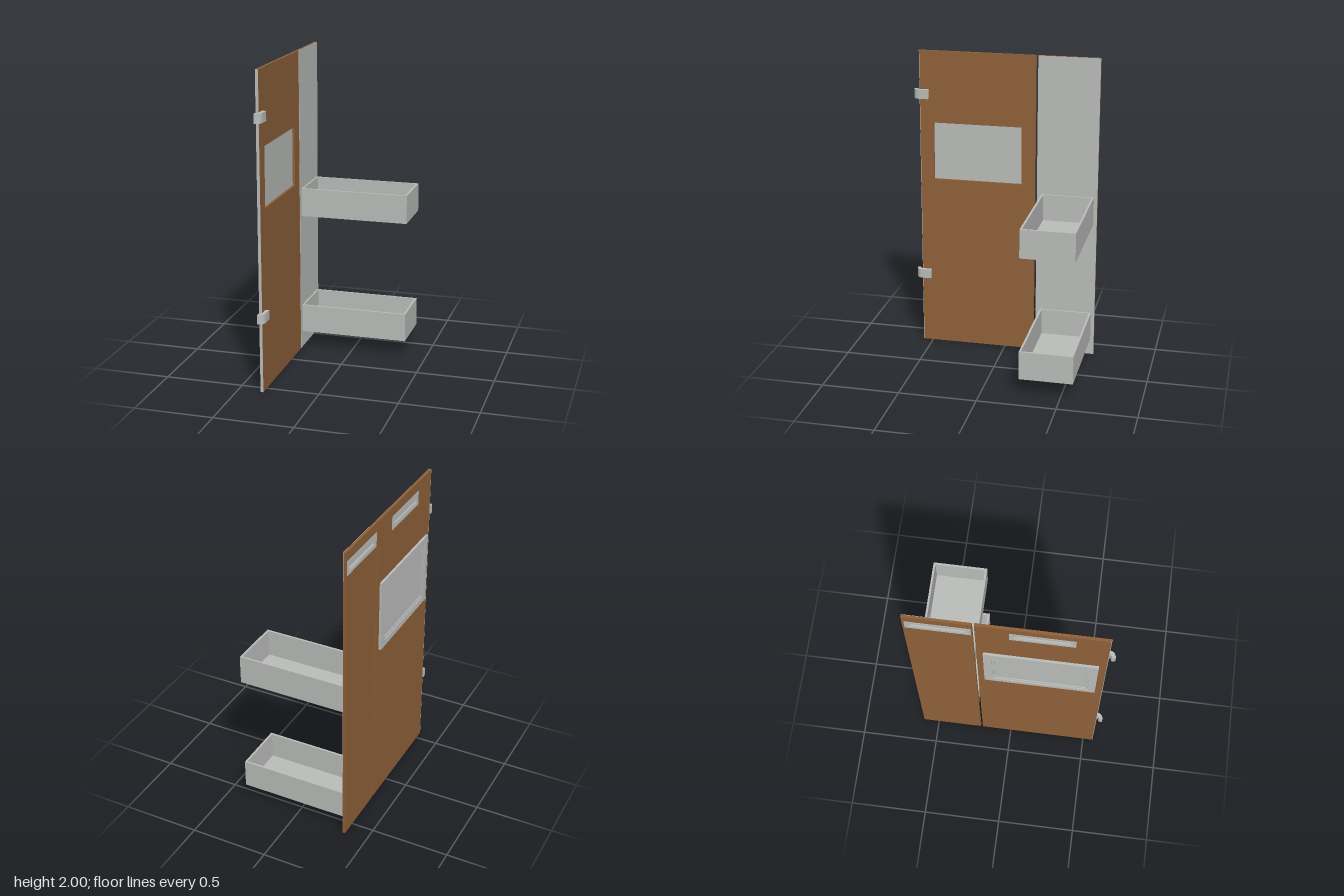
import * as THREE from 'three';

const wood = new THREE.MeshStandardMaterial({ color: 0x90623a });
wood.name = 'brown wood';
const metal = new THREE.MeshStandardMaterial({ color: 0xbdbfbd });
metal.name = 'light grey metal';

// Rectangle as a point list, in the plane of a shape
function rect(u0, u1, v0, v1) {
  return [[u0, v0], [u1, v0], [u1, v1], [u0, v1]].map(([u, v]) => new THREE.Vector2(u, v));
}

function extrude(points, holes, depth) {
  const shape = new THREE.Shape(points);
  for (const h of holes) shape.holes.push(new THREE.Path(h));
  return new THREE.ExtrudeGeometry(shape, { depth, bevelEnabled: false, curveSegments: 10 });
}

// Upright sheet from x0 to x1; rectangles are [z0, z1, y0, y1]
function sheet(name, mat, x0, x1, outer, holes = []) {
  const toPoints = ([z0, z1, y0, y1]) => rect(-z1, -z0, y0, y1);
  const geo = extrude(toPoints(outer), holes.map(toPoints), x1 - x0);
  geo.rotateY(Math.PI / 2).translate(x0, 0, 0);
  const mesh = new THREE.Mesh(geo, mat);
  mesh.name = name;
  return mesh;
}

const inset = ([z0, z1, y0, y1], d) => [z0 + d, z1 - d, y0 + d, y1 - d];

// Recessed air vent on the outside of a panel
function vent(name, area) {
  const g = new THREE.Group();
  g.name = name;
  const opening = inset(area, 0.022);
  g.add(sheet('ventFrame', metal, -0.358, -0.355, area, [opening]));
  g.add(sheet('ventRim', metal, -0.355, -0.346, opening, [inset(opening, 0.008)]));
  g.add(sheet('ventBack', metal, -0.346, -0.343, opening));
  return g;
}

// Open-topped tray on the inner side of the narrow panel
function tray(name, y) {
  const g = new THREE.Group();
  g.name = name;
  const walls = extrude(rect(-0.337, 0.366, 0.238, 0.58), [rect(-0.326, 0.352, 0.252, 0.567)], 0.185);
  walls.rotateX(-Math.PI / 2).translate(0, y, 0);
  const wallMesh = new THREE.Mesh(walls, metal);
  wallMesh.name = 'trayWalls';
  const floor = new THREE.Mesh(new THREE.BoxGeometry(0.678, 0.012, 0.315), metal);
  floor.position.set(0.013, y + 0.006, -0.4095);
  floor.name = 'trayFloor';
  g.add(wallMesh, floor);
  return g;
}

// Hooked hinge wrapping the front edge of the door
function hinge(name, y) {
  const s = new THREE.Shape();
  s.moveTo(-0.337, -0.503);
  s.lineTo(-0.312, -0.503);
  s.lineTo(-0.312, -0.562);
  s.quadraticCurveTo(-0.314, -0.602, -0.355, -0.604);
  s.lineTo(-0.355, -0.58);
  s.quadraticCurveTo(-0.338, -0.58, -0.337, -0.562);
  s.closePath();
  const geo = new THREE.ExtrudeGeometry(s, { depth: 0.06, bevelEnabled: false, curveSegments: 8 });
  geo.rotateX(-Math.PI / 2).translate(0, y, 0);
  const mesh = new THREE.Mesh(geo, metal);
  mesh.name = name;
  return mesh;
}

export function createModel() {
  const model = new THREE.Group();
  model.name = 'cabinetDoors';

  const windowHole = [-0.105, 0.475, 1.15, 1.53];
  const doorVent = [0, 0.375, 1.85, 1.94];
  const sideVent = [-0.59, -0.215, 1.85, 1.94];
  const doorArea = [-0.195, 0.563, 0, 2];
  const sideArea = [-0.603, -0.208, 0, 2];

  // Wide door: two layers so the vent is recessed in the outer one
  const door = new THREE.Group();
  door.name = 'door';
  door.add(sheet('doorInner', wood, -0.343, -0.337, doorArea, [windowHole]));
  door.add(sheet('doorOuter', wood, -0.355, -0.343, doorArea, [windowHole, inset(doorVent, 0.022)]));
  door.add(sheet('doorEdge', metal, -0.355, -0.337, [0.563, 0.566, 0, 2]));
  door.add(vent('doorVent', doorVent));

  // Window frame and pane
  const frameArea = [-0.155, 0.52, 1.11, 1.575];
  door.add(sheet('windowFrame', metal, -0.37, -0.355, frameArea, [windowHole]));
  door.add(sheet('windowLip', metal, -0.364, -0.355, windowHole, [inset(windowHole, 0.014)]));
  door.add(sheet('windowPane', metal, -0.358, -0.352, windowHole));
  door.add(hinge('upperHinge', 1.688), hinge('lowerHinge', 0.456));

  // Narrow panel, lined with metal on its inner side
  const side = new THREE.Group();
  side.name = 'sidePanel';
  side.add(sheet('sideLining', metal, -0.339, -0.337, sideArea));
  side.add(sheet('sideInner', wood, -0.343, -0.339, sideArea));
  side.add(sheet('sideOuter', wood, -0.355, -0.343, sideArea, [inset(sideVent, 0.022)]));
  side.add(vent('sideVent', sideVent));
  side.add(tray('lowerTray', 0.11), tray('upperTray', 0.91));

  model.add(door, side);
  return model;
}
